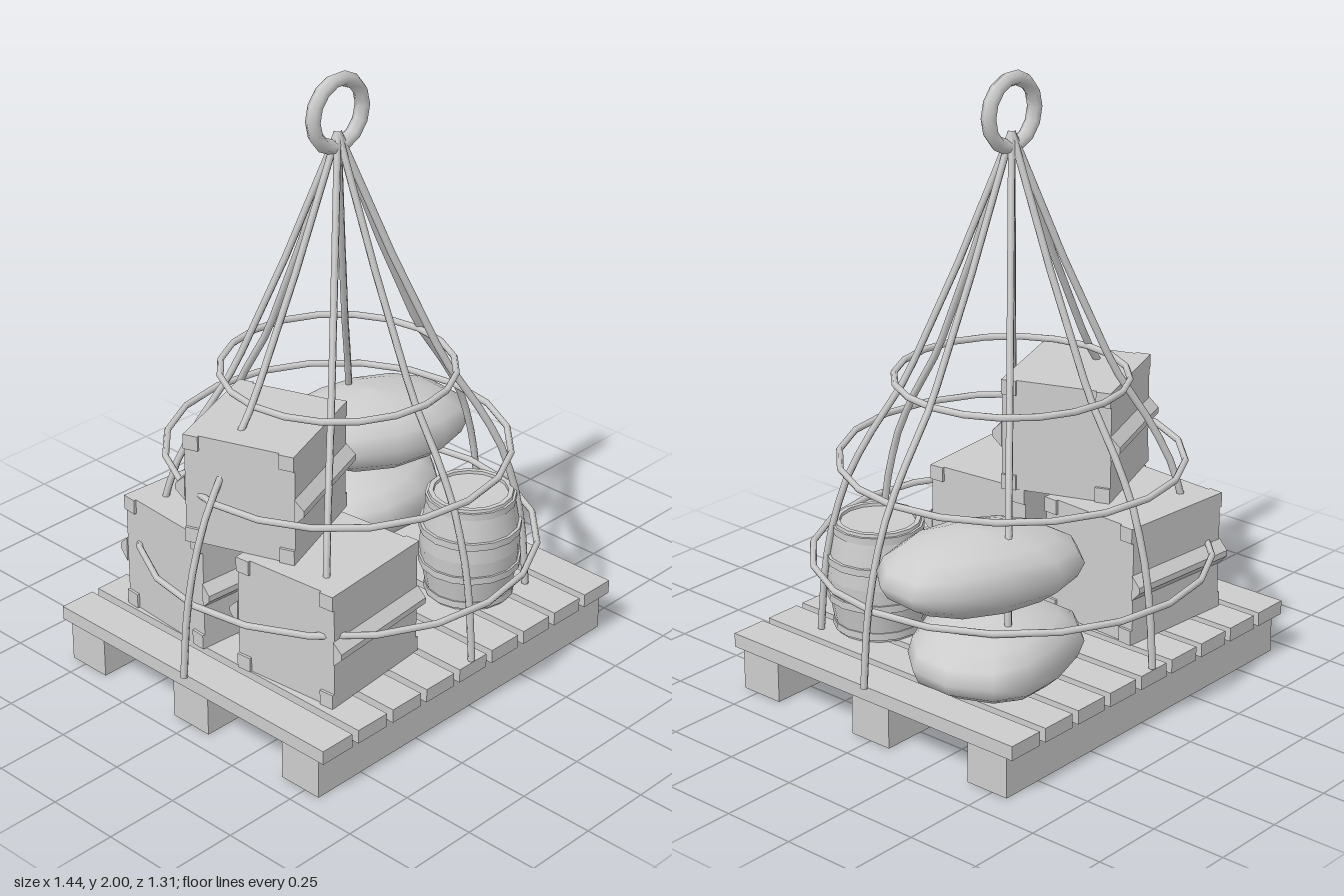
import * as THREE from 'three';

const grey = new THREE.MeshStandardMaterial({ color: 0xcccccc });
grey.name = 'plain grey';
const flatGrey = grey; // one colour for the whole model
const CX = -0.02;      // centre of the pallet and net

function add(parent, geometry, name, x = 0, y = 0, z = 0) {
  const mesh = new THREE.Mesh(geometry, flatGrey);
  mesh.name = name;
  mesh.position.set(x, y, z);
  parent.add(mesh);
  return mesh;
}

function group(parent, name, x = 0, y = 0, z = 0) {
  const g = new THREE.Group();
  g.name = name;
  g.position.set(x, y, z);
  parent.add(g);
  return g;
}

// Nine planks across three runners
function addPallet(parent) {
  const pallet = group(parent, 'pallet', CX);
  for (const z of [-0.48, 0, 0.48])
    add(pallet, new THREE.BoxGeometry(1.33, 0.14, 0.155), 'runner', 0, 0.07, z);
  for (let i = -4; i <= 4; i++)
    add(pallet, new THREE.BoxGeometry(0.126, 0.047, 1.175), 'plank', i * 0.153, 0.1635, 0);
}

// Crate with wedge-shaped battens front and back, and corner plates on the sides
function addCrate(parent, x, y, z, w, h, d, turn) {
  const crate = group(parent, 'crate', x, y, z);
  crate.rotation.y = turn;
  add(crate, new THREE.BoxGeometry(w, h, d), 'crateBody', 0, h / 2, 0);
  const wedge = new THREE.Shape();
  wedge.moveTo(0, -0.045);
  wedge.lineTo(0.032, -0.012);
  wedge.lineTo(0.032, 0.008);
  wedge.lineTo(0, 0.04);
  wedge.closePath();
  for (const side of [1, -1]) {
    const g = new THREE.ExtrudeGeometry(wedge, { depth: w + 0.01, bevelEnabled: false });
    g.translate(0, 0, -(w + 0.01) / 2);
    g.rotateY(-side * Math.PI / 2);
    add(crate, g, 'batten', 0, h / 2, side * d / 2);
    for (const sz of [1, -1])
      for (const py of [0.025, h - 0.025])
        add(crate, new THREE.BoxGeometry(0.018, 0.05, 0.05), 'cornerPlate',
          side * w / 2, py, sz * (d / 2 - 0.025));
  }
}

// Bulging barrel with hoops and a recessed lid
function addBarrel(parent) {
  const barrel = group(parent, 'barrel', 0.3, 0.187, 0.285);
  const profile = [[0, 0], [0.138, 0], [0.147, 0.05], [0.16, 0.12], [0.164, 0.187],
    [0.16, 0.25], [0.147, 0.325], [0.138, 0.372], [0.122, 0.372], [0.12, 0.355], [0, 0.355]];
  // each profile span gets its own normals, so edges between spans stay clean
  for (let i = 0; i + 1 < profile.length; i++)
    add(barrel, new THREE.LatheGeometry(
      [profile[i], profile[i + 1]].map(p => new THREE.Vector2(...p)), 16), 'barrelWall');
  for (const [y, r] of [[0.022, 0.148], [0.125, 0.168], [0.25, 0.168], [0.35, 0.148]])
    add(barrel, new THREE.CylinderGeometry(r, r, 0.024, 16, 1), 'hoop', 0, y, 0);
}

// Plump sack: a coarse ball squared off in plan, with pinched, faceted ends
function addSack(parent, x, y, z, size, turn) {
  const g = new THREE.SphereGeometry(1, 12, 8);
  const p = g.attributes.position;
  const square = (v, e) => Math.sign(v) * Math.pow(Math.abs(v), e);
  for (let i = 0; i < p.count; i++) {
    const vx = p.getX(i), vy = p.getY(i), vz = p.getZ(i);
    const lump = 1 + 0.06 * Math.sin(3 * vx + 2 * vz) * (1 - vy * vy);
    p.setXYZ(i, square(vx, 0.9) * size[0],
      square(vy, 0.85) * size[1] * (1 - 0.3 * vx * vx),
      square(vz, 0.85) * size[2] * lump);
  }
  g.computeVertexNormals();
  add(parent, g, 'sack', x, y, z).rotation.y = turn;
}

// Eight ropes hanging from the ring, tied by three hoops
function addNet(parent) {
  const net = group(parent, 'net', CX);
  const profile = [[0, 1.81], [0.27, 1.4], [0.54, 1.03], [0.76, 0.82],
    [0.87, 0.68], [0.95, 0.5], [0.98, 0.36], [1, 0.19]];
  const ends = [[0.69, 0], [-0.69, 0], [0, 0.58], [0, -0.58],
    [0.47, 0.4], [0.46, -0.385], [-0.46, 0.39], [-0.46, -0.39]];
  for (const [ex, ez] of ends) {
    const path = new THREE.CurvePath();
    const points = profile.map(([f, y]) => new THREE.Vector3(ex * f, y, ez * f));
    for (let i = 0; i + 1 < points.length; i++)
      path.add(new THREE.LineCurve3(points[i], points[i + 1]));
    add(net, new THREE.TubeGeometry(path, 20, 0.012, 6), 'rope');
  }
  for (const [y, r] of [[0.43, 0.642], [0.753, 0.55], [1.02, 0.372]]) {
    const hoop = new THREE.TorusGeometry(r, 0.011, 6, 20);
    hoop.rotateX(Math.PI / 2);
    add(net, hoop, 'netHoop', 0, y, 0);
  }
  add(net, new THREE.TorusGeometry(0.107, 0.024, 6, 14), 'liftingRing', 0, 1.87, 0);
}

export function createModel() {
  const model = new THREE.Group();
  model.name = 'loadedPallet';
  addPallet(model);
  addCrate(model, -0.32, 0.187, 0.245, 0.41, 0.4, 0.38, 0.09);
  addCrate(model, -0.33, 0.187, -0.25, 0.41, 0.4, 0.38, -0.07);
  addCrate(model, -0.34, 0.587, 0, 0.38, 0.375, 0.37, 0.35);
  addBarrel(model);
  addSack(model, 0.375, 0.315, -0.28, [0.31, 0.125, 0.245], 0.2);
  addSack(model, 0.395, 0.575, -0.235, [0.335, 0.125, 0.215], -0.38);
  addNet(model);
  return model;
}
